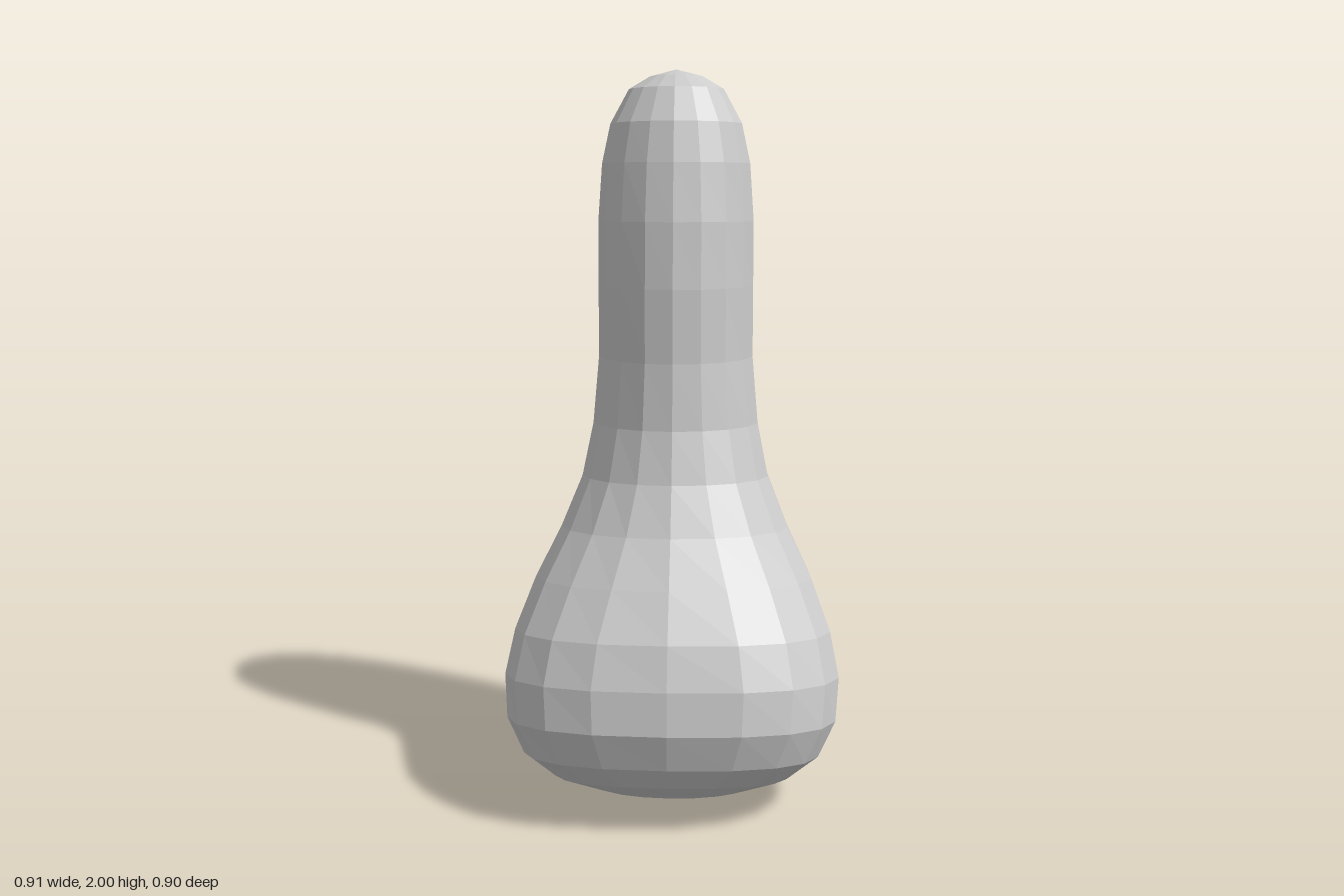
import * as THREE from 'three';

const SIDES = 18;

// Rings from top to bottom: front z, front y, back z, back y, half width, squareness of the front
const RINGS = [
  [-0.13, 1.98, -0.29, 1.98, 0.075, 1],
  [-0.08, 1.945, -0.345, 1.945, 0.135, 1],
  [-0.02, 1.85, -0.39, 1.85, 0.187, 1],
  [0.01, 1.74, -0.415, 1.74, 0.211, 1],
  [0.04, 1.58, -0.435, 1.58, 0.222, 1],
  [0.06, 1.4, -0.445, 1.4, 0.222, 1],
  [0.07, 1.2, -0.45, 1.2, 0.222, 1],
  [0.095, 1.02, -0.443, 1.0, 0.238, 1],
  [0.14, 0.88, -0.435, 0.84, 0.268, 0.98],
  [0.21, 0.75, -0.422, 0.69, 0.325, 0.94],
  [0.3, 0.63, -0.4, 0.55, 0.39, 0.88],
  [0.385, 0.51, -0.355, 0.4, 0.44, 0.82],
  [0.43, 0.4, -0.3, 0.28, 0.462, 0.8],
  [0.45, 0.29, -0.23, 0.17, 0.452, 0.8],
  [0.425, 0.19, -0.14, 0.085, 0.405, 0.82],
  [0.36, 0.115, -0.04, 0.03, 0.32, 0.88],
  [0.26, 0.045, 0.02, 0.01, 0.2, 1],
];

const power = (v, p) => Math.sign(v) * Math.abs(v) ** p;

// Skin of flat facets over tilted rings, closed by a point at each end
function loft(rings, topPoint, bottomPoint) {
  const positions = [];
  const index = [];
  for (const [zf, yf, zb, yb, halfWidth, square] of rings) {
    for (let j = 0; j < SIDES; j++) {
      const a = (j / SIDES) * Math.PI * 2;
      const p = Math.cos(a) > 0 ? square : 1;
      const c = power(Math.cos(a), p);
      const t = (1 - c) / 2;
      positions.push(
        halfWidth * power(Math.sin(a), p),
        THREE.MathUtils.lerp(yf, yb, t),
        THREE.MathUtils.lerp(zf, zb, t)
      );
    }
  }
  const top = rings.length * SIDES;
  const bottom = top + 1;
  positions.push(...topPoint, ...bottomPoint);

  const last = (rings.length - 1) * SIDES;
  for (let j = 0; j < SIDES; j++) {
    const k = (j + 1) % SIDES;
    index.push(top, j, k, bottom, last + k, last + j);
    for (let r = 0; r < last; r += SIDES) {
      const [a, b, c, d] = [r + j, r + SIDES + j, r + SIDES + k, r + k];
      index.push(a, b, c, a, c, d);
    }
  }
  const geometry = new THREE.BufferGeometry();
  geometry.setAttribute('position', new THREE.Float32BufferAttribute(positions, 3));
  geometry.setIndex(index);
  geometry.computeVertexNormals();
  return geometry;
}

export function createModel() {
  const group = new THREE.Group();
  group.name = 'bentClub';

  // Slim rounded neck that swells forward into a wide foot
  const body = new THREE.Mesh(
    loft(RINGS, [0, 2, -0.21], [0, 0, 0.13]),
    new THREE.MeshStandardMaterial({ color: 0xcccccc, flatShading: true })
  );
  body.name = 'body';
  group.add(body);
  return group;
}
